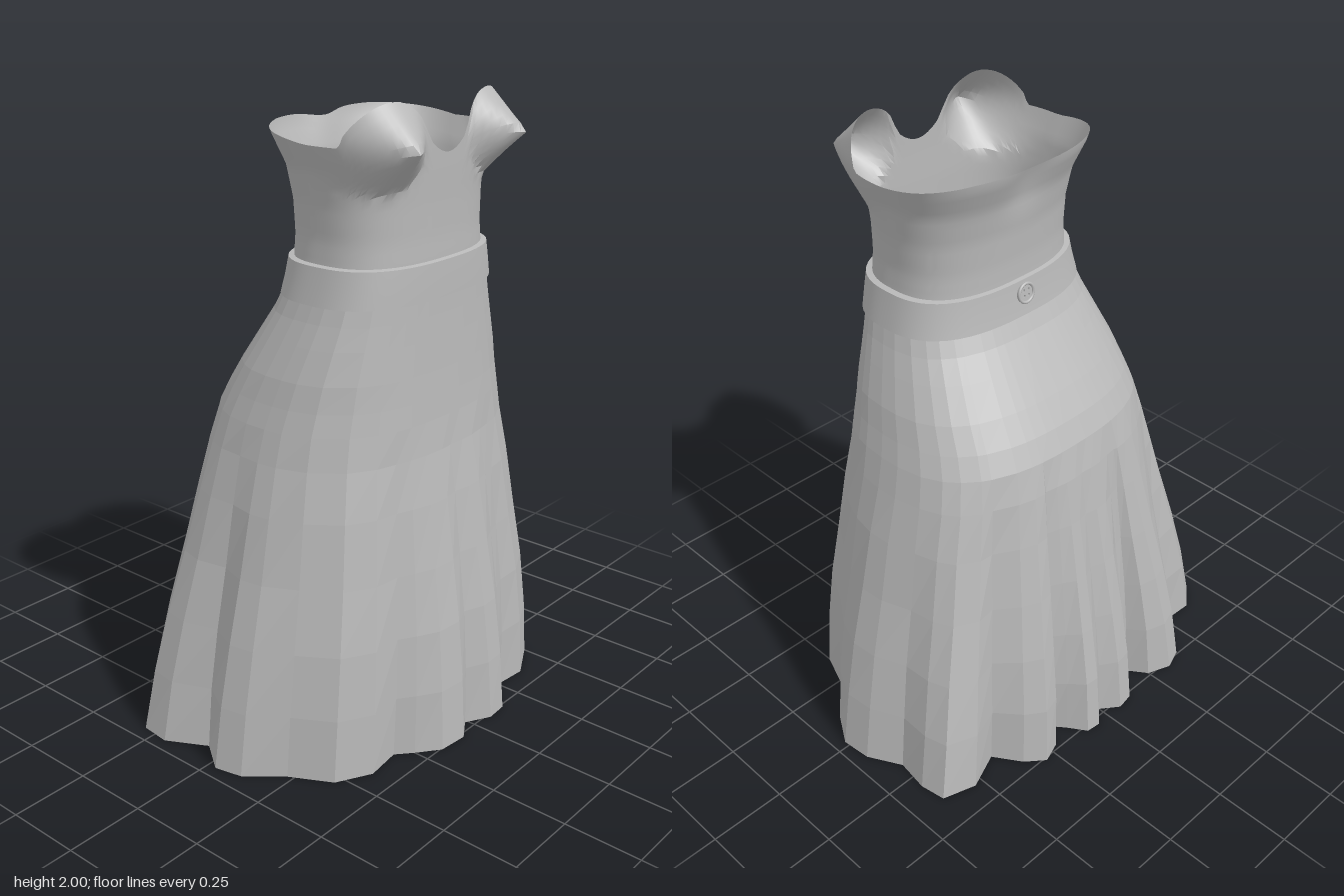
import * as THREE from 'three';
import { toCreasedNormals } from 'three/addons/utils/BufferGeometryUtils.js';

const POWER = 2.6;

// Body sections, bottom to top: [y, half width, front z, back z]
const SKIRT = [
  [0, 0.7, 0.5, -0.5], [0.2, 0.67, 0.49, -0.485], [0.4, 0.63, 0.47, -0.455], [0.6, 0.58, 0.44, -0.42],
  [0.8, 0.535, 0.41, -0.385], [0.95, 0.495, 0.385, -0.36], [1.05, 0.47, 0.375, -0.335], [1.12, 0.45, 0.37, -0.3],
  [1.2, 0.43, 0.365, -0.25], [1.3, 0.395, 0.36, -0.185], [1.37, 0.37, 0.357, -0.14], [1.43, 0.352, 0.355, -0.11],
];
const BODICE = [
  [1.4, 0.34, 0.345, -0.1], [1.53, 0.316, 0.345, -0.087], [1.6, 0.309, 0.342, -0.085], [1.7, 0.313, 0.342, -0.09],
  [1.8, 0.328, 0.345, -0.108], [1.9, 0.364, 0.345, -0.15], [2.0, 0.364, 0.335, -0.155],
];
const BAND = [
  [1.418, 0.345, 0.35, -0.1], [1.42, 0.36, 0.364, -0.118], [1.475, 0.347, 0.363, -0.107],
  [1.53, 0.335, 0.36, -0.1], [1.533, 0.314, 0.345, -0.085],
];

// Pleated hem outline [x, z], from the left side round the front
const HEM = [
  [0.71, 0.02], [0.65, 0.12], [0.6, 0.17], [0.55, 0.23], [0.5, 0.36], [0.37, 0.43], [0.26, 0.42], [0.205, 0.45],
  [0.145, 0.51], [0.07, 0.515], [-0.01, 0.47], [-0.08, 0.515], [-0.18, 0.505], [-0.25, 0.45], [-0.3, 0.405],
  [-0.42, 0.42], [-0.53, 0.36], [-0.6, 0.23], [-0.69, 0.12], [-0.71, 0.03], [-0.64, -0.07], [-0.71, -0.2],
  [-0.7, -0.3], [-0.62, -0.365], [-0.49, -0.36], [-0.45, -0.42], [-0.4, -0.495], [-0.33, -0.52], [-0.25, -0.49],
  [-0.2, -0.42], [-0.16, -0.44], [-0.12, -0.515], [-0.06, -0.525], [0, -0.48], [0.05, -0.525], [0.1, -0.52],
  [0.14, -0.46], [0.18, -0.41], [0.22, -0.485], [0.29, -0.51], [0.35, -0.46], [0.41, -0.37], [0.53, -0.42],
  [0.64, -0.385], [0.655, -0.3], [0.64, -0.19], [0.7, -0.08],
];

function sectionAt(table, y) {
  let i = 0;
  while (i < table.length - 2 && y > table[i + 1][0]) i++;
  const t = (y - table[i][0]) / (table[i + 1][0] - table[i][0]);
  return table[i].map((v, k) => v + (table[i + 1][k] - v) * t);
}

// Point on a rounded-square section at an angle
function onSection([y, a, front, back], angle) {
  const c = Math.cos(angle), s = Math.sin(angle);
  const r = (Math.abs(c) ** POWER + Math.abs(s) ** POWER) ** (-1 / POWER);
  const mid = (front + back) / 2, half = (front - back) / 2;
  return new THREE.Vector3(a * c * r, y, mid + half * s * r);
}

// Surface through closed rings listed bottom to top
function loft(rings) {
  const n = rings[0].length, index = [];
  for (let j = 0; j < rings.length - 1; j++) {
    for (let i = 0; i < n; i++) {
      const k = (i + 1) % n, a = j * n + i, b = j * n + k;
      index.push(a, a + n, b, b, a + n, b + n);
    }
  }
  const g = new THREE.BufferGeometry().setFromPoints(rings.flat());
  g.setIndex(index);
  return g;
}

function flat(g) {
  const out = g.toNonIndexed();
  out.computeVertexNormals();
  return out;
}

const angles = (n) => Array.from({ length: n }, (_, i) => (i / n) * Math.PI * 2);

// Skirt: smooth hips, with pleats deepening toward the hem
function skirtGeometry() {
  const base = SKIRT[0], mid = (base[2] + base[3]) / 2, half = (base[2] - base[3]) / 2;
  const pleats = HEM.map(([x, z]) => {
    const angle = Math.atan2((z - mid) / half, x / base[1]);
    return { angle, offset: new THREE.Vector3(x, 0, z).sub(onSection(base, angle)) };
  });
  return flat(loft(SKIRT.map((s) => {
    const depth = Math.max(0, 1 - s[0] / 1.05) ** 1.1;
    return pleats.map((p) => onSection(s, p.angle).addScaledVector(p.offset, depth));
  })));
}

// Top edge of the bodice: two cup arcs in front, a low back
function rimHeight(angle) {
  const x = Math.abs(onSection(BODICE[5], angle).x), s = Math.sin(angle);
  if (s <= 0) return 1.88 + 0.033 * Math.min(1, -s * 1.2) - 0.015 * Math.exp(-((x / 0.08) ** 2));
  const dx = x - 0.22;
  const arc = Math.abs(dx) < 0.13 ? 1.87 + Math.sqrt(0.0169 - dx * dx) : 0;
  const base = x < 0.2 ? Math.min(1.91, 1.84 + 0.07 * (x / 0.11) ** 2) : 1.88;
  return Math.max(base, arc);
}

function bodiceGeometry() {
  const rows = 22, rings = [];
  for (let j = 0; j <= rows; j++) {
    rings.push(angles(120).map((angle) => {
      const y = 1.45 + (rimHeight(angle) - 1.45) * (j / rows);
      const p = onSection(sectionAt(BODICE, y), angle);
      if (Math.sin(angle) > 0) {
        // pointed bust cups
        const d = Math.hypot(Math.abs(p.x) - 0.24, y - 1.875) / 0.135;
        const bump = d < 1 ? (1 - d) ** 0.9 * (1 - 0.2 * d) : 0;
        p.z += 0.135 * bump;
        p.x += Math.sign(p.x) * 0.012 * bump;
      } else {
        // shallow dip along the spine
        p.z += 0.022 * Math.exp(-((p.x / 0.08) ** 2)) * THREE.MathUtils.smoothstep(y, 1.7, 1.9);
      }
      return p;
    }));
  }
  return toCreasedNormals(loft(rings), 0.5);
}

function buttonGeometry() {
  const disc = new THREE.Shape().absarc(0, 0, 0.033, 0, Math.PI * 2, false);
  for (const x of [-1, 1]) {
    for (const y of [-1, 1]) {
      disc.holes.push(new THREE.Path().absarc(x * 0.009, y * 0.009, 0.005, 0, Math.PI * 2, true));
    }
  }
  return new THREE.ExtrudeGeometry(disc, { depth: 0.008, bevelEnabled: false, curveSegments: 12 });
}

export function createModel() {
  const model = new THREE.Group();
  model.name = 'dress';
  const cloth = new THREE.MeshStandardMaterial({ color: 0xb8b8b8, side: THREE.DoubleSide });
  cloth.name = 'grey cloth';

  const add = (parent, name, geometry) => {
    const mesh = new THREE.Mesh(geometry, cloth);
    mesh.name = name;
    parent.add(mesh);
    return mesh;
  };

  add(model, 'skirt', skirtGeometry());
  add(model, 'bodice', bodiceGeometry());
  const bandRings = BAND.map((s) => angles(64).map((angle) => onSection(s, angle)));
  add(model, 'waistband', toCreasedNormals(loft(bandRings), 0.6));

  // Four-hole button at the back of the waistband
  const button = new THREE.Group();
  button.name = 'button';
  add(button, 'buttonDisc', buttonGeometry());
  add(button, 'buttonRim', new THREE.TorusGeometry(0.03, 0.005, 8, 24)).position.z = 0.008;
  button.position.set(0, 1.488, -0.104);
  button.rotation.set(0.12, Math.PI, 0);
  model.add(button);

  return model;
}
